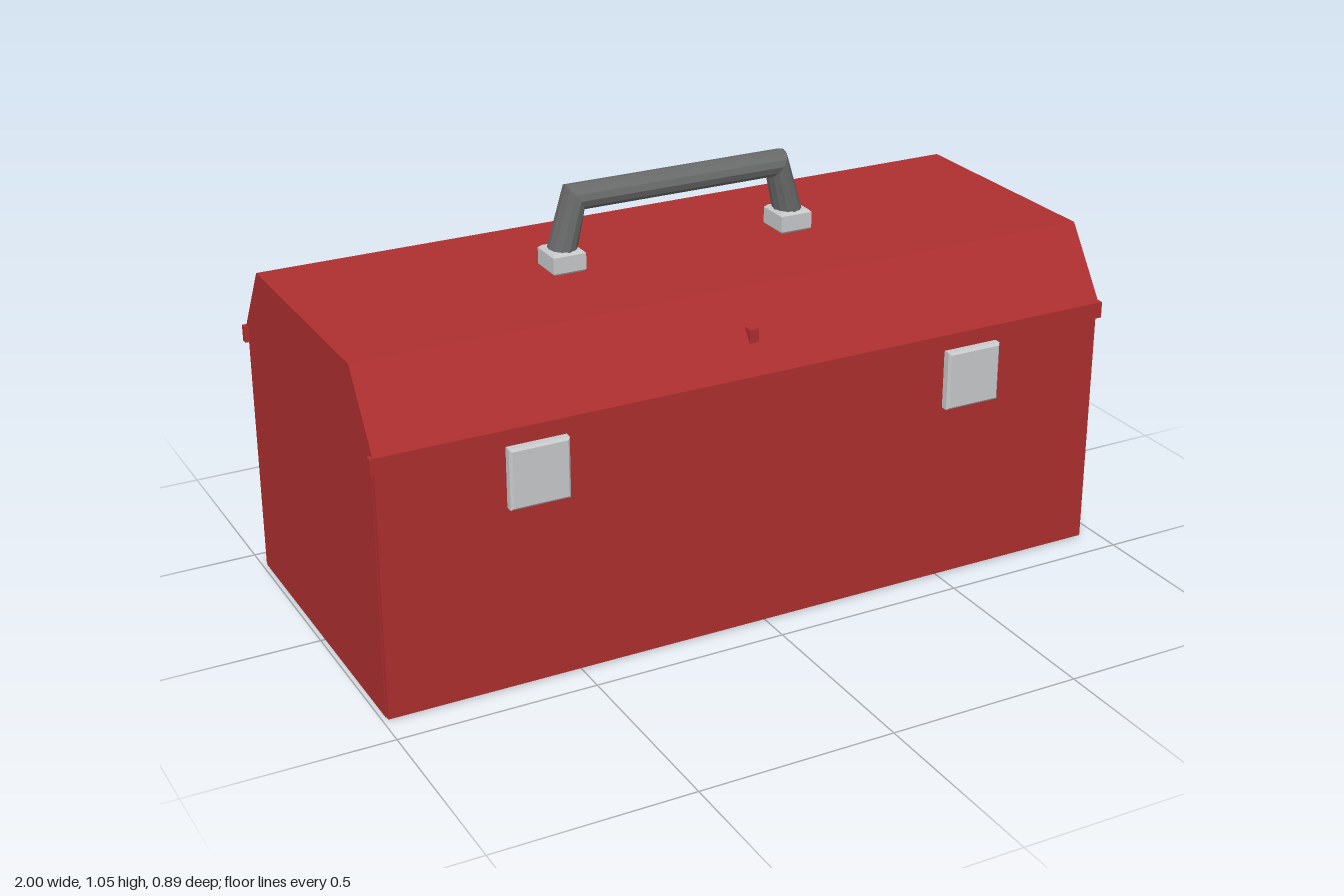
import * as THREE from 'three';

export function createModel() {
  const model = new THREE.Group();
  model.name = 'toolbox';
  const paint = (name, color) => {
    const m = new THREE.MeshStandardMaterial({ color });
    m.name = name;
    return m;
  };
  const red = paint('red paint', 0xae2f2f);
  const steel = paint('light steel', 0xc8c9cb);
  const grip = paint('dark grip', 0x686969);
  const CX = -0.018; // middle of the box; the end knob takes up the rest of the length

  const add = (name, geometry, material, x = 0, y = 0, z = 0) => {
    const mesh = new THREE.Mesh(geometry, material);
    mesh.name = name;
    mesh.position.set(x, y, z);
    model.add(mesh);
    return mesh;
  };
  // Box given by its limits
  const box = (name, material, x0, x1, y0, y1, z0, z1) =>
    add(name, new THREE.BoxGeometry(x1 - x0, y1 - y0, z1 - z0), material,
      (x0 + x1) / 2, (y0 + y1) / 2, (z0 + z1) / 2);
  // Rectangular block with chamfered edges, extruded along z
  const chamferBlock = (w, h, d, b) => {
    const x = w / 2 - b, y = h / 2 - b;
    const s = new THREE.Shape([[-x, -y], [x, -y], [x, y], [-x, y]].map(p => new THREE.Vector2(...p)));
    const g = new THREE.ExtrudeGeometry(s, {
      depth: d - 2 * b, bevelEnabled: true, bevelSize: b, bevelThickness: b, bevelSegments: 1,
    });
    return g.translate(0, 0, -d / 2 + b);
  };

  // Body: core box with folded front and back sheets, and a bare steel floor
  box('body', red, -0.99, 0.954, 0.003, 0.664, -0.425, 0.405);
  box('frontSheet', red, -0.988, 0.952, 0.003, 0.664, 0.405, 0.417);
  box('backSheet', red, -0.988, 0.952, 0.003, 0.664, -0.438, -0.425);
  box('floor', steel, -0.982, 0.946, 0, 0.004, -0.43, 0.41);

  // Lid: sloped profile extruded along the length
  const profile = [[0.42, 0.664], [0.30, 0.84], [-0.325, 0.84], [-0.44, 0.664]];
  const lidShape = new THREE.Shape(profile.map(([z, y]) => new THREE.Vector2(-z, y)));
  const lid = new THREE.ExtrudeGeometry(lidShape, { depth: 1.946, bevelEnabled: false });
  lid.rotateY(Math.PI / 2);
  add('lid', lid, red, -0.991, 0, 0);

  // Lid rims along the front and back
  box('frontRim', red, -1, 0.963, 0.622, 0.664, 0.408, 0.425);
  box('backRim', red, -1, 0.963, 0.622, 0.664, -0.447, -0.43);

  // Raised ribs on the back
  for (let i = -2; i <= 2; i++) {
    const x = CX + i * 0.39;
    box('backRib', red, x - 0.048, x + 0.048, 0.08, 0.545, -0.446, -0.43);
  }

  // Latches
  for (const x of [-0.605, 0.565]) {
    add('latch', chamferBlock(0.15, 0.152, 0.03, 0.006), steel, x, 0.548, 0.433);
  }

  // Small studs on the lid slopes
  box('frontStud', red, -0.031, -0.007, 0.728, 0.762, 0.33, 0.379);
  box('backStud', red, -0.031, -0.007, 0.728, 0.762, -0.4, -0.35);

  // Handle brackets
  for (const s of [-1, 1]) {
    const bracket = chamferBlock(0.086, 0.09, 0.055, 0.007);
    bracket.rotateX(-Math.PI / 2);
    add('handleBracket', bracket, steel, CX + s * 0.313, 0.866, -0.01);
  }

  // Handle: four mitred oval rings, each given by its outer and inner point
  const N = 12;
  const rings = [
    [-0.349, 0.885, -0.277, 0.885],
    [-0.299, 1.047, -0.257, 0.983],
    [0.299, 1.047, 0.257, 0.983],
    [0.349, 0.885, 0.277, 0.885],
  ];
  const positions = [], index = [];
  rings.forEach(([ox, oy, ix, iy], r) => {
    for (let k = 0; k < N; k++) {
      const a = (k / N) * Math.PI * 2, c = Math.cos(a) / 2;
      positions.push((ox + ix) / 2 + (ox - ix) * c, (oy + iy) / 2 + (oy - iy) * c, 0.042 * Math.sin(a));
      if (r < rings.length - 1) {
        const p = r * N + k, q = r * N + (k + 1) % N;
        index.push(p, q, p + N, q, q + N, p + N);
      }
    }
  });
  const handle = new THREE.BufferGeometry();
  handle.setAttribute('position', new THREE.Float32BufferAttribute(positions, 3));
  handle.setIndex(index);
  const flatHandle = handle.toNonIndexed();
  flatHandle.computeVertexNormals();
  grip.side = THREE.DoubleSide;
  add('handle', flatHandle, grip, CX, 0, -0.012);

  // Knob at the lower right end
  const knobProfile = [[0, 0], [0.017, 0], [0.017, 0.02], [0.022, 0.02], [0.022, 0.042], [0.018, 0.046], [0, 0.046]];
  const knob = new THREE.LatheGeometry(knobProfile.map(p => new THREE.Vector2(...p)), 12).toNonIndexed();
  knob.computeVertexNormals();
  knob.rotateZ(-Math.PI / 2);
  add('endKnob', knob, steel, 0.953, 0.042, -0.09);

  return model;
}
